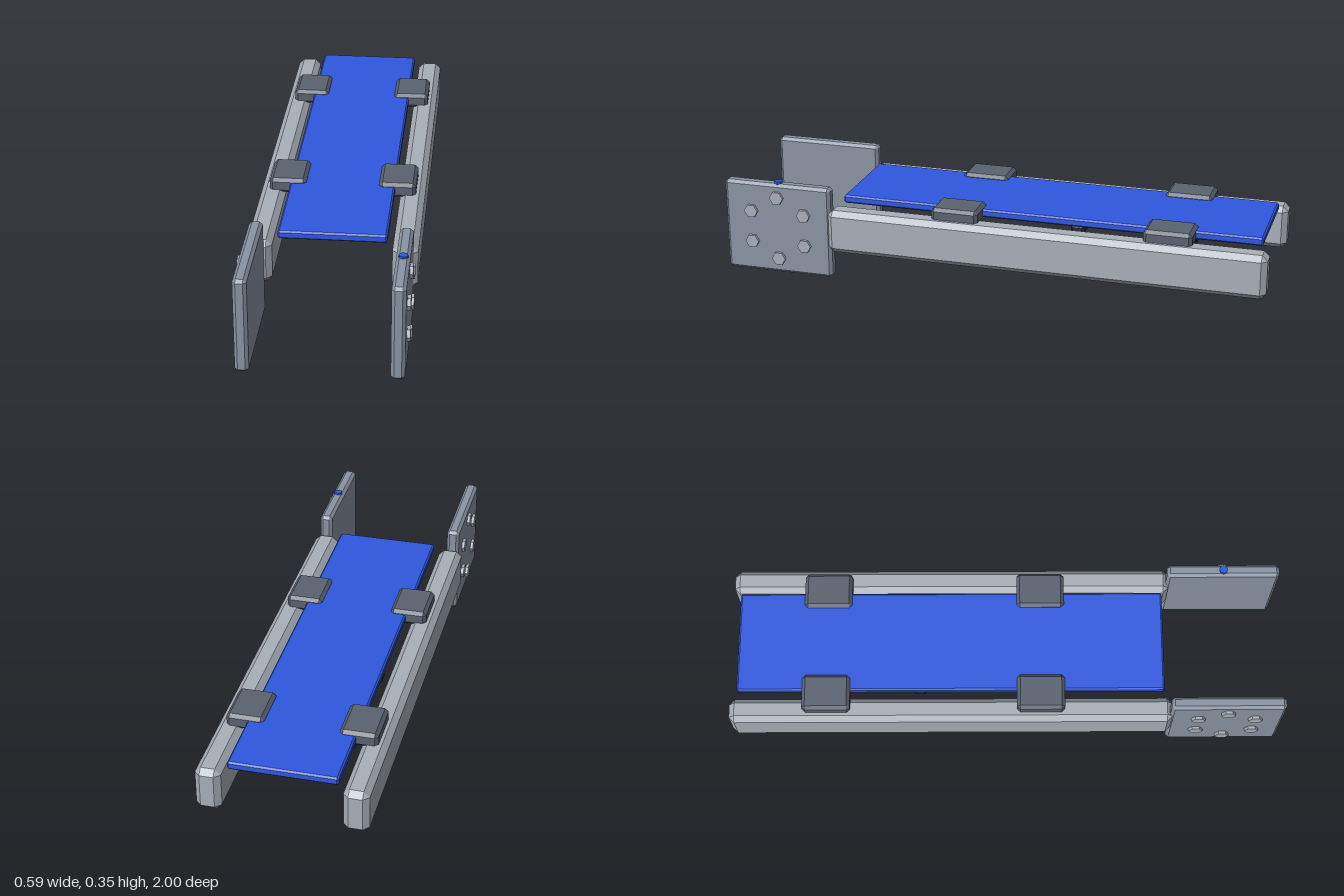
import * as THREE from 'three';
import { ConvexGeometry } from 'three/addons/geometries/ConvexGeometry.js';

const material = (color) => new THREE.MeshStandardMaterial({ color, flatShading: true });

// Box with every edge cut at 45 degrees
function chamferBox(w, h, d, c) {
  const points = [];
  for (const sx of [-1, 1]) for (const sy of [-1, 1]) for (const sz of [-1, 1]) {
    const x = w / 2, y = h / 2, z = d / 2;
    points.push(
      new THREE.Vector3(sx * x, sy * (y - c), sz * (z - c)),
      new THREE.Vector3(sx * (x - c), sy * y, sz * (z - c)),
      new THREE.Vector3(sx * (x - c), sy * (y - c), sz * z),
    );
  }
  return new ConvexGeometry(points);
}

export function createModel() {
  const model = new THREE.Group();
  model.name = 'railBench';

  const plateGrey = material(0x8a94a3);
  const railGrey = material(0xaab0b9);
  const clipGrey = material(0x5a6270);
  const darkBar = material(0x272c3a);
  const blue = material(0x2f58e0);

  function add(name, geometry, mat, x, y, z) {
    const mesh = new THREE.Mesh(geometry, mat);
    mesh.name = name;
    mesh.position.set(x, y, z);
    model.add(mesh);
    return mesh;
  }

  // Blue plank between the rails
  add('plank', chamferBox(0.374, 0.03, 1.54, 0.006), blue, 0, 0.28, -0.2);

  // Cross bars under the plank
  const barGeometry = chamferBox(0.368, 0.034, 0.05, 0.008);
  for (const z of [-0.71, -0.31, 0.09]) add('crossBar', barGeometry, darkBar, 0, 0.252, z);

  const railGeometry = chamferBox(0.088, 0.161, 1.6, 0.02);
  const plateGeometry = chamferBox(0.047, 0.345, 0.41, 0.011);
  const clipGeometry = chamferBox(0.132, 0.055, 0.173, 0.012);
  const boltGeometry = new THREE.CylinderGeometry(0.026, 0.026, 0.016, 6);
  boltGeometry.rotateY(Math.PI / 6 + Math.PI / 3).rotateZ(Math.PI / 2);
  boltGeometry.rotateX(Math.PI / 2);

  // Each side: rail, end plate, clips and a ring of six bolts on the outer face
  for (const side of [-1, 1]) {
    const label = side > 0 ? 'left' : 'right';
    add(label + 'Rail', railGeometry, railGrey, side * 0.249, 0.186, -0.2);
    add(label + 'EndPlate', plateGeometry, plateGrey, side * 0.2545, 0.1725, 0.795);
    for (const z of [0.125, -0.648]) add(label + 'Clip', clipGeometry, clipGrey, side * 0.196, 0.281, z);
    for (let i = 0; i < 6; i++) {
      const a = Math.PI / 2 + (i * Math.PI) / 3;
      add(label + 'Bolt', boltGeometry, railGrey,
        side * 0.281, 0.176 + 0.118 * Math.sin(a), 0.795 + 0.118 * Math.cos(a));
    }
  }

  // Small button on top of the left plate
  add('button', new THREE.CylinderGeometry(0.016, 0.016, 0.016, 8), blue, 0.255, 0.344, 0.795);

  return model;
}
